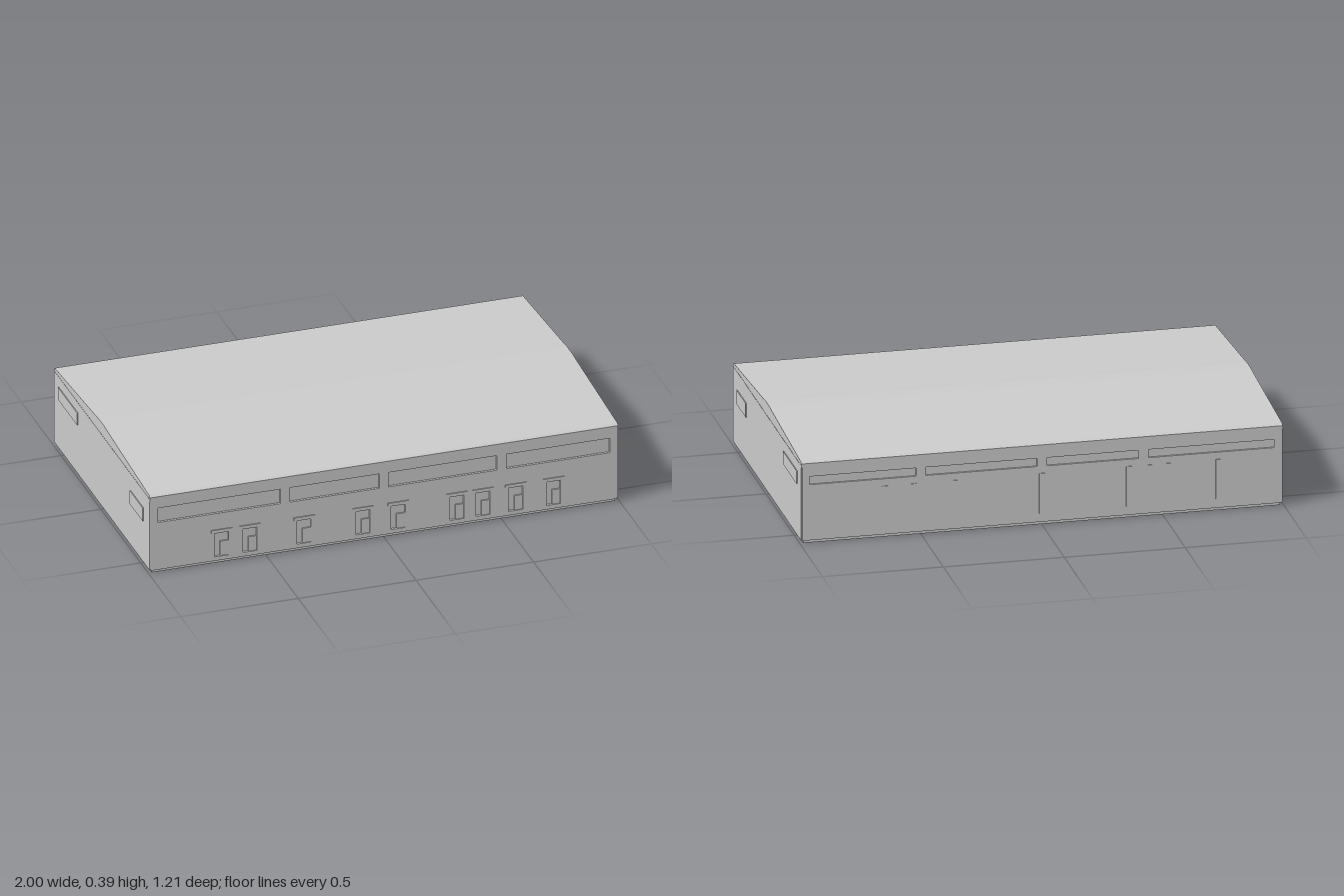
import * as THREE from 'three';

const mat = new THREE.MeshStandardMaterial({ color: 0xcccccc });

function add(parent, name, geo) {
  const m = new THREE.Mesh(geo, mat);
  m.name = name;
  parent.add(m);
  return m;
}

function box(parent, name, x0, x1, y0, y1, z0, z1) {
  const g = new THREE.BoxGeometry(x1 - x0, y1 - y0, z1 - z0);
  g.translate((x0 + x1) / 2, (y0 + y1) / 2, (z0 + z1) / 2);
  return add(parent, name, g);
}

// Cross-section given as [z, y] points, run along the length of the building
function alongX(points, length) {
  const shape = new THREE.Shape(points.map(([z, y]) => new THREE.Vector2(z, y)));
  const g = new THREE.ExtrudeGeometry(shape, { depth: length, bevelEnabled: false });
  g.translate(0, 0, -length / 2);
  g.rotateY(-Math.PI / 2);
  return g;
}

function rect(path, x0, x1, y0, y1) {
  path.moveTo(x0, y0);
  path.lineTo(x1, y0);
  path.lineTo(x1, y1);
  path.lineTo(x0, y1);
  path.closePath();
  return path;
}

// Thin wall skin with rectangular recesses cut through it
function wallSkin(holes, depth) {
  const shape = rect(new THREE.Shape(), -0.99, 0.99, 0.012, 0.34);
  for (const h of holes) shape.holes.push(rect(new THREE.Path(), ...h));
  return new THREE.ExtrudeGeometry(shape, { depth, bevelEnabled: false });
}

export function createModel() {
  const model = new THREE.Group();
  model.name = 'building';

  // Core and base
  add(model, 'hallCore', alongX(
    [[-0.596, 0.012], [0.59, 0.012], [0.59, 0.335], [-0.596, 0.335]], 1.984));
  box(model, 'base', -0.985, 0.985, 0, 0.014, -0.597, 0.593);

  // Low gabled roof with a softened ridge and eaves
  add(model, 'roof', alongX([
    [-0.606, 0.325], [0.601, 0.325], [0.601, 0.342], [0.59, 0.349],
    [0.07, 0.384], [0.03, 0.388], [-0.04, 0.388], [-0.08, 0.384],
    [-0.595, 0.349], [-0.606, 0.342]], 1.99));

  // Front wall: long window strips between piers, doorways below
  const strips = [[-0.96, -0.44], [-0.4, -0.02], [0.02, 0.48], [0.52, 0.96]];
  const doors = [-0.69, -0.57, -0.34, -0.09, 0.06, 0.31, 0.42, 0.56, 0.72];
  const frontHoles = [
    ...strips.map(([a, b]) => [a, b, 0.225, 0.29]),
    ...doors.map(x => [x - 0.03, x + 0.03, 0.03, 0.135])];
  const front = add(model, 'frontWall', wallSkin(frontHoles, 0.01));
  front.position.z = 0.59;

  // Door leaves and small canopies
  for (const x of doors) {
    box(model, 'doorLeaf', x - 0.005, x + 0.03, 0.03, 0.095, 0.588, 0.596);
    box(model, 'doorCanopy', x - 0.045, x + 0.045, 0.14, 0.152, 0.598, 0.604);
  }

  // Back wall: shallow window strips and uneven upright ribs
  const back = add(model, 'backWall', wallSkin(
    strips.map(([a, b]) => [a, b, 0.25, 0.285]), 0.008));
  back.position.z = -0.604;
  for (const x of [0.65, 0.53, 0.36, 0, -0.36, -0.45, -0.52, -0.73]) {
    box(model, 'backRib', x - 0.012, x + 0.012, 0.05, 0.22, -0.608, -0.6);
  }

  // End walls with faint raised panels
  for (const s of [-1, 1]) {
    const end = new THREE.Group();
    end.name = s > 0 ? 'leftEnd' : 'rightEnd';
    const a = s * 0.99, b = s * 0.996;
    const x0 = Math.min(a, b), x1 = Math.max(a, b);
    box(end, 'endWall', x0, x1, 0.014, 0.335, -0.6, 0.596);
    const p0 = Math.min(b, s), p1 = Math.max(b, s);
    box(end, 'endPanel', p0, p1, 0.2, 0.26, 0.36, 0.52);
    box(end, 'endPanel', p0, p1, 0.235, 0.29, -0.54, -0.3);
    model.add(end);
  }

  return model;
}
